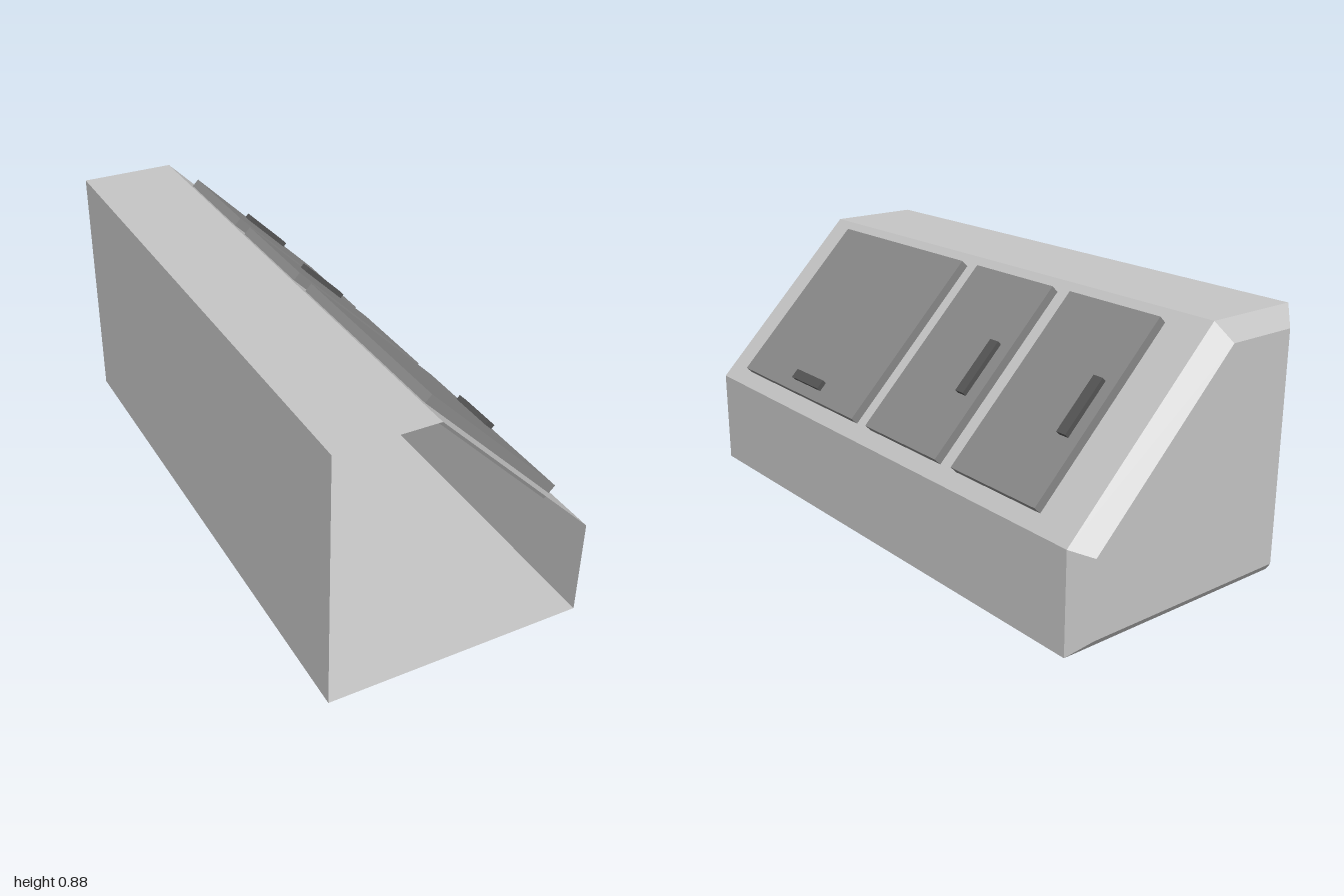
import * as THREE from 'three';

const material = (name, color, side = THREE.FrontSide) => {
  const m = new THREE.MeshStandardMaterial({ color, side });
  m.name = name;
  return m;
};

// Thin shell: open front ring, long walls, bevel towards a smaller back cap
function shellGeometry() {
  const outer = [[-0.437, 0], [0.437, 0], [0.437, 0.333], [-0.108, 0.878], [-0.437, 0.878]];
  const inner = [[-0.38, 0.058], [0.38, 0.058], [0.38, 0.31], [-0.132, 0.821], [-0.38, 0.821]];
  const ring = (pts, z) => pts.map(([x, y]) => [x, y, z]);
  const rings = [ring(outer, 1), ring(outer, -0.943), ring(inner, -1)];
  const pos = [];
  const tri = (...corners) => corners.forEach((c) => pos.push(...c));
  for (let r = 0; r < 2; r++) {
    for (let i = 0; i < 5; i++) {
      const j = (i + 1) % 5;
      const [a, b] = [rings[r], rings[r + 1]];
      tri(a[i], b[i], b[j]);
      tri(a[i], b[j], a[j]);
    }
  }
  const cap = rings[2];
  for (let i = 1; i < 4; i++) tri(cap[0], cap[i + 1], cap[i]);
  const geo = new THREE.BufferGeometry();
  geo.setAttribute('position', new THREE.Float32BufferAttribute(pos, 3));
  geo.computeVertexNormals();
  return geo;
}

export function createModel() {
  const model = new THREE.Group();
  model.name = 'slantedCabinet';
  const bodyGrey = material('light grey', 0xc4c4c4, THREE.DoubleSide);
  const doorGrey = material('mid grey', 0x888888);
  const handleGrey = material('dark grey', 0x545454);

  const body = new THREE.Mesh(shellGeometry(), bodyGrey);
  body.name = 'bodyShell';
  model.add(body);

  // Everything on the sloping face: local x runs down the slope, y points outwards
  const slope = new THREE.Group();
  slope.name = 'slopingFace';
  slope.rotation.z = -Math.PI / 4;
  model.add(slope);

  const addBox = (name, mat, [u0, u1], [v0, v1], [z0, z1]) => {
    const mesh = new THREE.Mesh(new THREE.BoxGeometry(u1 - u0, v1 - v0, z1 - z0), mat);
    mesh.position.set((u0 + u1) / 2, (v0 + v1) / 2, (z0 + z1) / 2);
    mesh.name = name;
    slope.add(mesh);
  };

  // Doors with their handles: z range, then handle range down the slope and in z
  const doors = [
    { name: 'wideDoor', z: [0.14, 0.86], hu: [-0.059, -0.024], hz: [0.381, 0.551] },
    { name: 'middleDoor', z: [-0.324, 0.058], hu: [-0.409, -0.209], hz: [-0.276, -0.238] },
    { name: 'backDoor', z: [-0.788, -0.404], hu: [-0.409, -0.209], hz: [-0.747, -0.709] },
  ];
  for (const d of doors) {
    addBox(d.name, doorGrey, [-0.651, 0.016], [0.522, 0.575], d.z);
    addBox(d.name + 'Handle', handleGrey, d.hu, [0.566, 0.592], d.hz);
  }
  return model;
}
